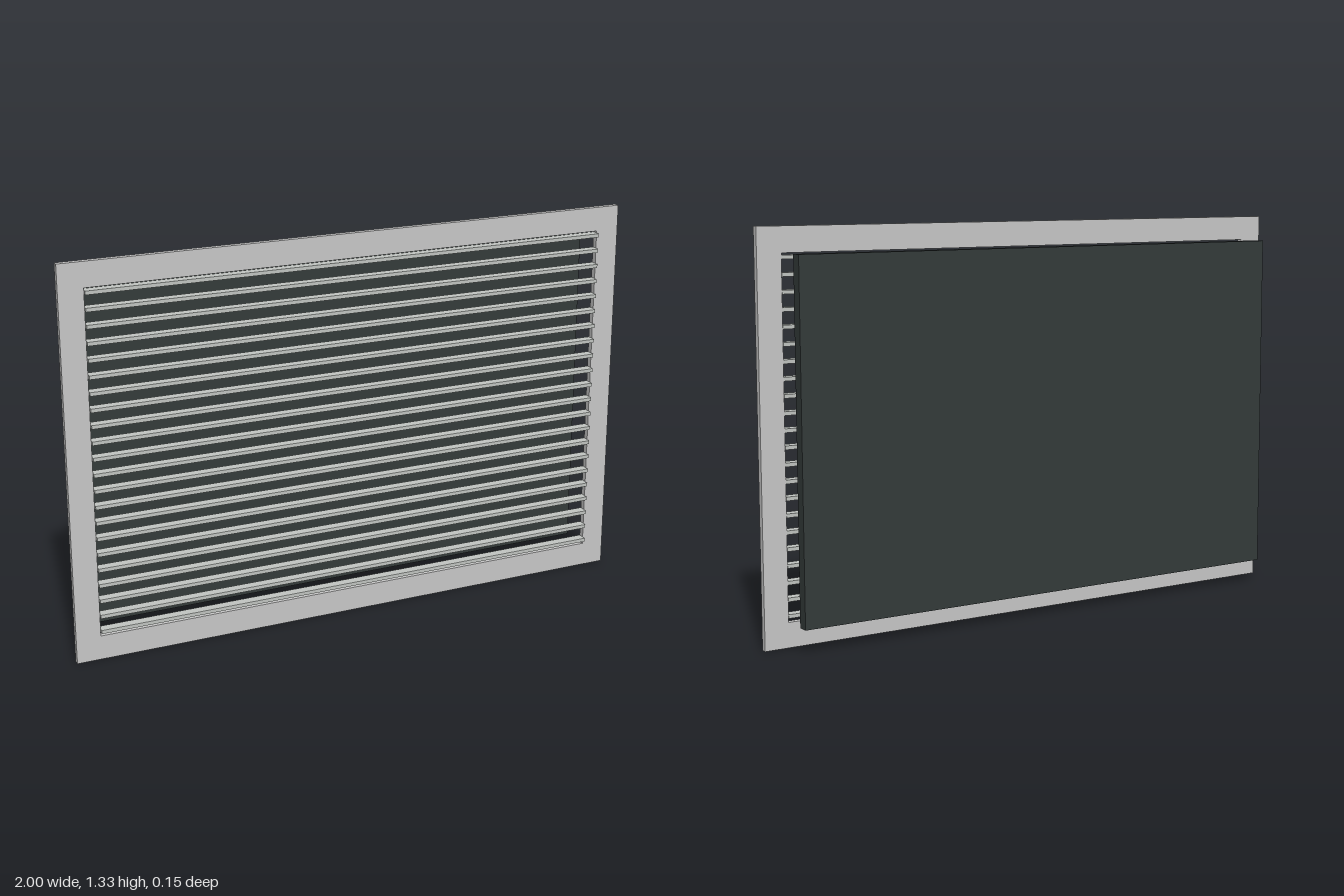
import * as THREE from 'three';

const WIDTH = 2, HEIGHT = 1.333, BORDER = 0.083;
const OPEN_W = WIDTH - 2 * BORDER, OPEN_H = HEIGHT - 2 * BORDER;

function material(name, color) {
  const m = new THREE.MeshStandardMaterial({ color });
  m.name = name;
  return m;
}

function box(name, w, h, d, y, z, mat) {
  const mesh = new THREE.Mesh(new THREE.BoxGeometry(w, h, d), mat);
  mesh.name = name;
  mesh.position.set(0, y, z);
  return mesh;
}

export function createModel() {
  const group = new THREE.Group();
  group.name = 'louvreGrille';
  const frameGrey = material('frame grey', 0xc8c8c8);
  const slatGrey = material('slat grey', 0xc2c6c2);
  const panelDark = material('panel charcoal', 0x343b3a);

  // Flat rectangular frame with one opening
  const outline = new THREE.Shape([
    new THREE.Vector2(-WIDTH / 2, 0), new THREE.Vector2(WIDTH / 2, 0),
    new THREE.Vector2(WIDTH / 2, HEIGHT), new THREE.Vector2(-WIDTH / 2, HEIGHT),
  ]);
  const x = OPEN_W / 2, top = HEIGHT - BORDER;
  outline.holes.push(new THREE.Path([
    new THREE.Vector2(-x, BORDER), new THREE.Vector2(-x, top),
    new THREE.Vector2(x, top), new THREE.Vector2(x, BORDER),
  ]));
  const frame = new THREE.Mesh(
    new THREE.ExtrudeGeometry(outline, { depth: 0.02, bevelEnabled: false }), frameGrey);
  frame.name = 'frame';
  frame.position.z = 0.0435;
  group.add(frame);

  // Evenly spaced horizontal slats, standing proud of the frame
  const slats = new THREE.Group();
  slats.name = 'slats';
  const count = 22, first = 0.102, last = 1.237;
  for (let i = 0; i < count; i++) {
    const y = first + (last - first) * i / (count - 1);
    slats.add(box('slat', OPEN_W, 0.0125, 0.035, y, 0.0595, slatGrey));
  }
  group.add(slats);

  // Solid panel behind the grille
  group.add(box('backPanel', OPEN_W, OPEN_H, 0.037, HEIGHT / 2, -0.0585, panelDark));

  return group;
}
